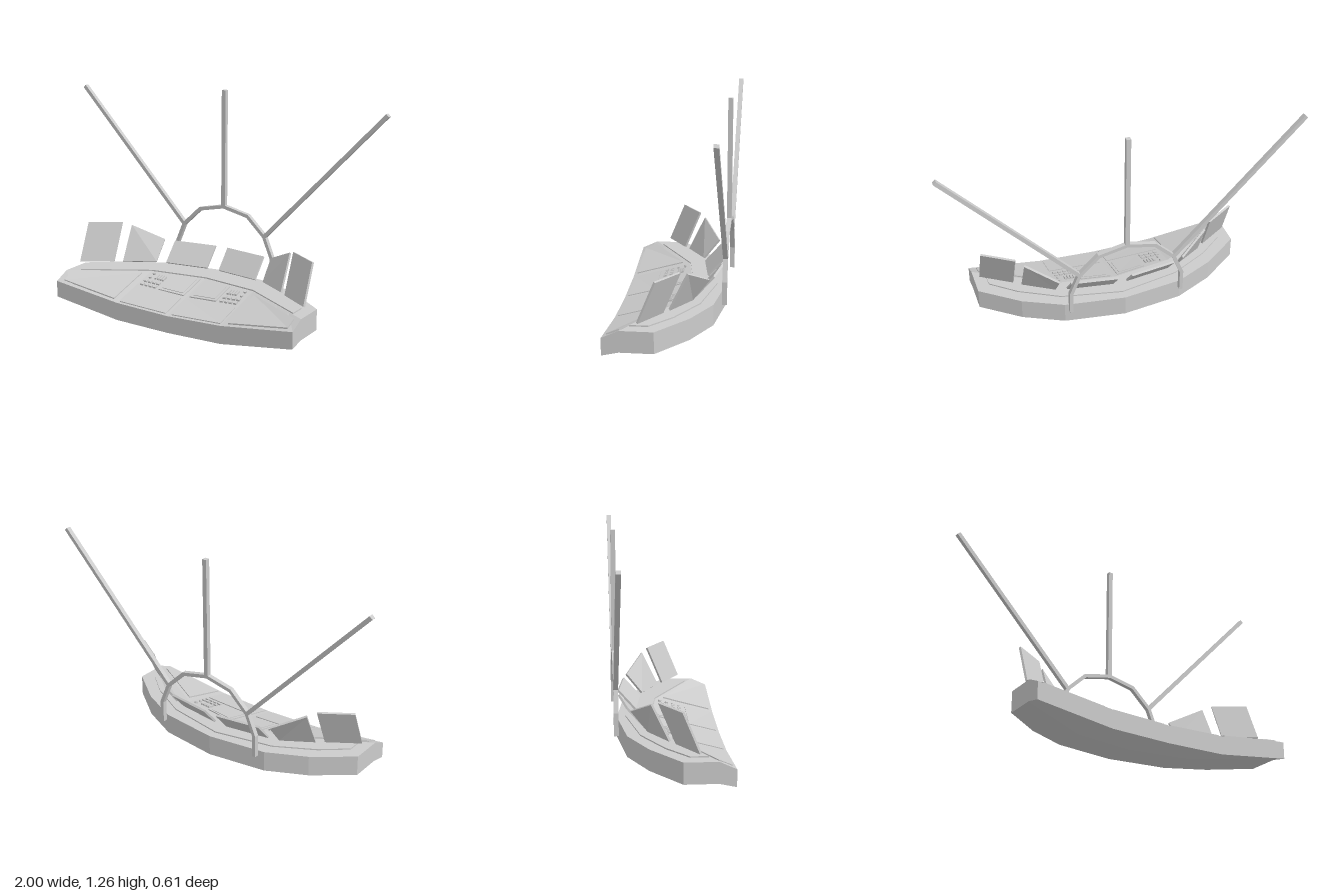
import * as THREE from 'three';

const grey = new THREE.MeshStandardMaterial({ color: 0xcccccc, flatShading: true });

// Piecewise linear lookup on |x| through [x, value] pairs
const lookup = (pairs) => (x) => {
  const a = Math.abs(x);
  let i = 1;
  while (i < pairs.length - 1 && a > pairs[i][0]) i++;
  const [x0, v0] = pairs[i - 1], [x1, v1] = pairs[i];
  return v0 + (v1 - v0) * (a - x0) / (x1 - x0);
};
const backZ = lookup([[0, -0.28], [0.34, -0.235], [0.56, -0.13], [0.77, 0.03]]);
const rimZ = lookup([[0, -0.09], [0.34, -0.04], [0.77, 0.21]]);
const frontTop = lookup([[0, 0.1], [0.34, 0.112], [0.77, 0.165]]);
const frontBottom = lookup([[0, 0.003], [0.34, 0.01], [0.77, 0.07]]);
const RIM = 0.207, BASE = 0.09, FRONT = 0.3;

// Height of the sloping instrument face
const faceY = (x, z) => RIM + (frontTop(x) - RIM) * (z - rimZ(x)) / (FRONT - rimZ(x));

// Closed solid through matching rings of [x, y, z]; turned outward by its signed volume
function loft(rings) {
  const n = rings[0].length, last = rings.length - 1, tris = [];
  for (let r = 0; r < last; r++) {
    for (let i = 0; i < n; i++) {
      const j = (i + 1) % n;
      const a = rings[r][i], b = rings[r][j], c = rings[r + 1][j], d = rings[r + 1][i];
      tris.push([a, b, c], [a, c, d]);
    }
  }
  for (let i = 1; i < n - 1; i++) {
    tris.push([rings[0][0], rings[0][i + 1], rings[0][i]]);
    tris.push([rings[last][0], rings[last][i], rings[last][i + 1]]);
  }
  const o = new THREE.Vector3(...rings[0][0]);
  let volume = 0;
  for (const t of tris) {
    const [a, b, c] = t.map((p) => new THREE.Vector3(...p).sub(o));
    volume += a.dot(b.cross(c));
  }
  if (volume < 0) tris.forEach((t) => t.reverse());
  const g = new THREE.BufferGeometry();
  g.setAttribute('position', new THREE.Float32BufferAttribute(tris.flat(2), 3));
  g.computeVertexNormals();
  return g;
}

function add(parent, name, geometry) {
  const mesh = new THREE.Mesh(geometry, grey);
  mesh.name = name;
  parent.add(mesh);
  return mesh;
}

// Raised plate following the instrument face, from [x, z] corners
const plate = (corners, lift) => loft([-0.004, lift].map((h) =>
  corners.map(([x, z]) => [x, faceY(x, z) + h, z])));
const rect = (x0, x1, z0, z1) => [[x0, z0], [x1, z0], [x1, z1], [x0, z1]];

// Square bar with mitred corners along an [x, y] path in the frame plane
function bar(path, width) {
  const dir = (a, b) => new THREE.Vector2(b[0] - a[0], b[1] - a[1]).normalize();
  return loft(path.map((p, i) => {
    const d0 = dir(path[Math.max(i - 1, 0)], path[Math.max(i, 1)]);
    const k = Math.min(i, path.length - 2);
    const d1 = dir(path[k], path[k + 1]);
    const t = d0.clone().add(d1).normalize();
    const w = width / 2 / t.dot(d1);
    const [nx, ny] = [-t.y * w, t.x * w];
    return [[p[0] + nx, p[1] + ny, -0.305], [p[0] - nx, p[1] - ny, -0.305],
      [p[0] - nx, p[1] - ny, -0.279], [p[0] + nx, p[1] + ny, -0.279]];
  }));
}

// Thin pane from four corners, thickened along its normal
function pane(corners, thickness) {
  const [a, b, , d] = corners.map((p) => new THREE.Vector3(...p));
  const n = b.sub(a).cross(d.sub(a)).normalize().multiplyScalar(thickness / 2);
  return loft([-1, 1].map((s) => corners.map((p) =>
    [p[0] + s * n.x, p[1] + s * n.y, p[2] + s * n.z])));
}

export function createModel() {
  const model = new THREE.Group();
  model.name = 'cockpitConsole';

  // Console body and the low raised strip along its rim
  const half = [0.34, 0.45, 0.56, 0.665];
  const stations = (end) => [-end, ...half.map((x) => -x).reverse(), 0, ...half, end];
  add(model, 'consoleBody', loft(stations(0.77).map((x) => [
    [x, BASE, rimZ(x)], [x, BASE, backZ(x)], [x, RIM, backZ(x)],
    [x, RIM, rimZ(x)], [x, frontTop(x), FRONT], [x, frontBottom(x), FRONT],
  ])));
  add(model, 'rimStrip', loft(stations(0.7).map((x) => {
    const z0 = backZ(x) + 0.05 + 0.06 * Math.abs(x), z1 = rimZ(x) - 0.005;
    return [[x, RIM - 0.004, z0], [x, RIM + 0.007, z0], [x, RIM + 0.007, z1], [x, RIM - 0.004, z1]];
  })));

  // Windscreen panes, [x, y, z] corners for the +x side
  const panes = {
    centrePane: [[0.04, 0.24, -0.175], [0.3, 0.24, -0.137], [0.3, 0.35, -0.233], [0.04, 0.35, -0.271]],
    middlePane: [[0.36, 0.24, -0.123], [0.53, 0.24, -0.02], [0.53, 0.44, -0.115], [0.36, 0.355, -0.213]],
    outerPane: [[0.57, 0.24, 0.01], [0.74, 0.24, 0.12], [0.74, 0.46, 0.03], [0.57, 0.46, -0.08]],
  };

  // Everything paired left and right
  for (const [s, label] of [[1, 'left'], [-1, 'right']]) {
    const side = new THREE.Group();
    side.name = label + 'Side';
    model.add(side);
    const flip = (pts) => pts.map(([x, ...rest]) => [s * x, ...rest]);

    for (const [name, corners] of Object.entries(panes)) add(side, name, pane(flip(corners), 0.012));

    // Instrument plates
    add(side, 'sidePanel', plate(flip([[0.375, 0.005], [0.73, 0.212], [0.73, 0.28], [0.375, 0.28]]), 0.007));
    add(side, 'lowerPanel', plate(flip(rect(0.02, 0.33, 0.13, 0.285)), 0.005));
    add(side, 'screenBezel', plate(flip([[0.02, -0.072], [0.19, -0.047], [0.19, 0.105], [0.02, 0.105]]), 0.006));
    add(side, 'screen', plate(flip([[0.035, -0.055], [0.175, -0.034], [0.175, 0.09], [0.035, 0.09]]), 0.009));

    // Switches, keys and knobs
    for (let i = 0; i < 4; i++) {
      const x = 0.212 + i * 0.017;
      add(side, 'switch', plate(flip(rect(x, x + 0.011, -0.015, 0.025)), 0.01));
    }
    for (let row = 0; row < 2; row++) {
      for (let i = 0; i < 4; i++) {
        const x = 0.212 + i * 0.029, z = 0.05 + row * 0.035;
        add(side, 'key', plate(flip(rect(x, x + 0.02, z, z + 0.018)), 0.009));
      }
      const z = -0.02 + row * 0.04;
      const knob = add(side, 'knob', new THREE.CylinderGeometry(0.01, 0.01, 0.02, 10));
      knob.position.set(s * 0.305, faceY(0.305, z), z);
      knob.rotation.x = 0.28;
    }

    // Diagonal strut of the canopy frame
    add(side, 'diagonalStrut', bar(flip([[0.27, 0.45], [0.99, 1.212]]), 0.022));
  }

  // Canopy arch and centre post
  const arch = [[0.32, 0.205], [0.32, 0.33], [0.27, 0.45], [0.16, 0.555]];
  add(model, 'canopyArch', bar(
    [...arch, [0, 0.59], ...arch.map(([x, y]) => [-x, y]).reverse()], 0.02));
  add(model, 'centrePost', bar([[0, 0.585], [0, 1.265]], 0.025));

  return model;
}
